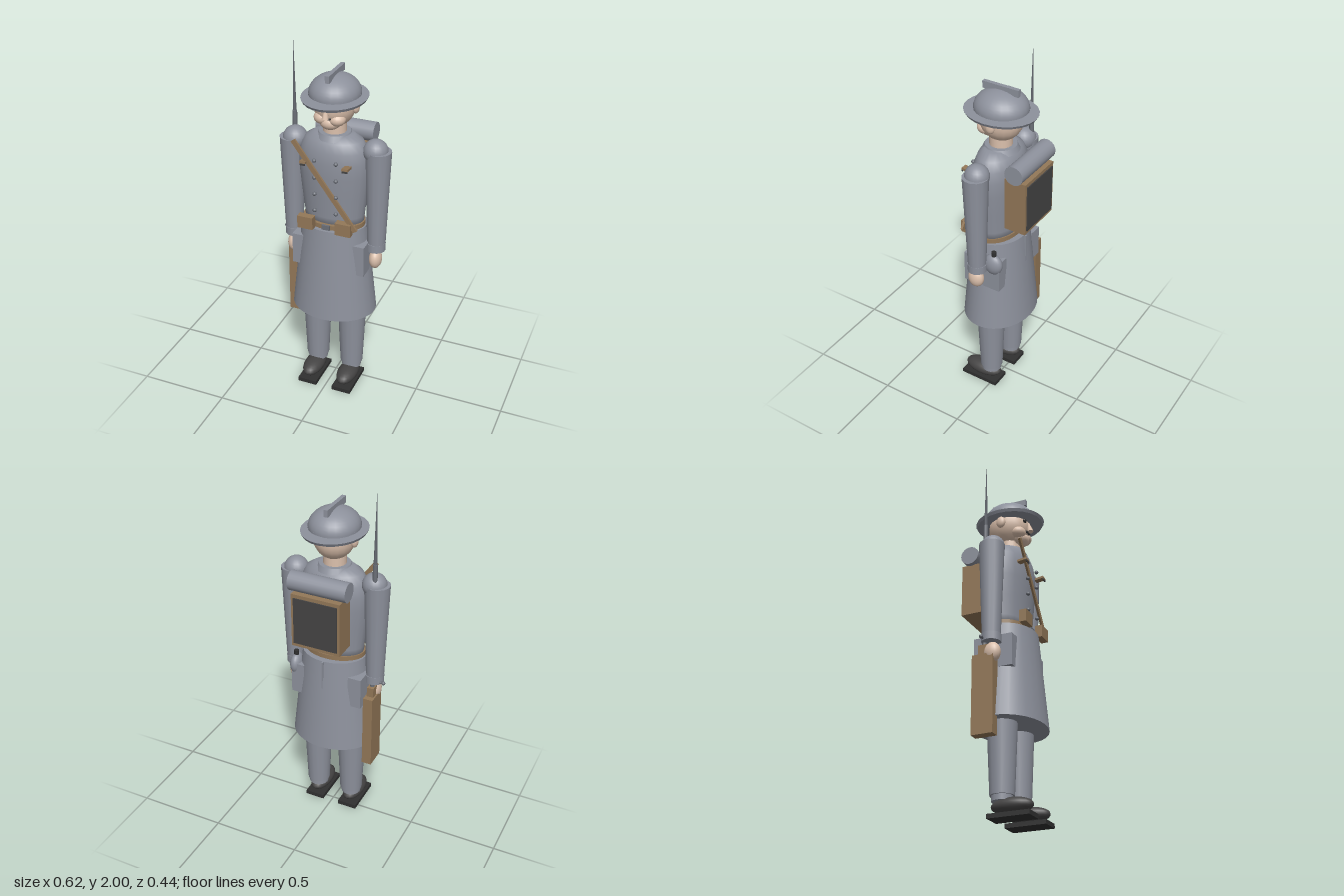
import * as THREE from 'three';

const mat = (name, color) => {
  const m = new THREE.MeshStandardMaterial({ color });
  m.name = name;
  return m;
};

export function createModel() {
  const cloth = mat('blue grey cloth', 0x8d919c);
  const steel = mat('steel', 0x6c7078);
  const skin = mat('skin', 0xdabfab);
  const leather = mat('brown leather', 0x937858);
  const dark = mat('dark canvas', 0x454444);
  const black = mat('black', 0x303030);
  const model = new THREE.Group();
  model.name = 'soldier';

  const add = (name, geo, material, x, y, z, parent = model) => {
    const m = new THREE.Mesh(geo, material);
    m.name = name;
    m.position.set(x, y, z);
    parent.add(m);
    return m;
  };
  const box = (name, w, h, d, material, x, y, z) =>
    add(name, new THREE.BoxGeometry(w, h, d), material, x, y, z);
  const ball = (name, rx, ry, rz, material, x, y, z) =>
    add(name, new THREE.SphereGeometry(1, 20, 14).scale(rx, ry, rz), material, x, y, z);
  // Upright tapered cylinder between two heights, squashed in z
  const tube = (name, rTop, rBot, y0, y1, material, x, z, sz = 1, sides = 20) =>
    add(name, new THREE.CylinderGeometry(rTop, rBot, y1 - y0, sides).scale(1, 1, sz),
      material, x, (y0 + y1) / 2, z);

  // Legs, boots, arms and hands
  for (const s of [-1, 1]) {
    const x = s * 0.105;
    tube('leg', 0.081, 0.064, 0.12, 0.52, cloth, x, 0.02, 1, 16);
    tube('legCuff', 0.056, 0.056, 0.09, 0.125, cloth, x, 0.02, 1, 16);
    ball('boot', 0.057, 0.043, 0.115, dark, x, 0.065, 0.075);
    box('sole', 0.112, 0.024, 0.23, black, x, 0.012, 0.075);

    ball('shoulder', 0.066, 0.066, 0.066, cloth, s * 0.225, 1.485, 0.018);
    tube('arm', 0.07, 0.049, 0.92, 1.49, cloth, s * 0.24, 0.018, 1, 14);
    tube('sleeveCuff', 0.053, 0.053, 0.905, 0.95, cloth, s * 0.238, 0.018, 1, 14);
    ball('hand', 0.035, 0.056, 0.046, skin, s * 0.24, 0.848, 0.025);

    // Coat pocket, mostly sunk into the skirt
    box('coatPocket', 0.075, 0.18, 0.22, cloth, s * 0.17, 0.867, 0.012);

    // Ammunition pouch and chest flap
    box('pouch', 0.087, 0.07, 0.04, leather, s * 0.107, 1.075, 0.158);
    const flap = box('chestFlap', 0.035, 0.012, 0.055, leather, s * 0.117, 1.425, 0.148);
    flap.rotation.x = -0.12;
    box('chestFlapEdge', 0.03, 0.01, 0.006, dark, s * 0.117, 1.416, 0.173);

    for (const y of [1.44, 1.343, 1.247, 1.15])
      ball('button', 0.011, 0.011, 0.011, steel, s * 0.06, y, 0.152);

    ball('ear', 0.018, 0.035, 0.027, skin, s * 0.113, 1.71, 0.012);
    ball('eye', 0.013, 0.013, 0.01, black, s * 0.04, 1.73, 0.127);
    box('brow', 0.04, 0.007, 0.012, dark, s * 0.045, 1.748, 0.122);
    ball('cheek', 0.045, 0.036, 0.045, skin, s * 0.04, 1.66, 0.085);
  }

  // Coat: torso swelling at the chest, then the flared skirt
  const profile = [[0.001, 1.04], [0.164, 1.04], [0.168, 1.1], [0.182, 1.22], [0.194, 1.34],
    [0.195, 1.42], [0.183, 1.48], [0.155, 1.53], [0.108, 1.56], [0.001, 1.562]];
  const torso = new THREE.LatheGeometry(profile.map(p => new THREE.Vector2(...p)), 24);
  add('torso', torso.scale(1, 1, 0.64), cloth, 0, 0, 0.02);
  add('collar', new THREE.CylinderGeometry(0.085, 0.1, 0.03, 20), cloth, 0, 1.552, 0.018);
  tube('coatSkirt', 0.181, 0.24, 0.502, 1.04, cloth, 0, 0.02, 0.815, 28);
  box('coatVent', 0.01, 0.27, 0.05, cloth, 0, 0.905, -0.117);

  // Belt, buckle and cross strap
  tube('belt', 0.173, 0.173, 1.038, 1.066, leather, 0, 0.025, 0.69, 28);
  box('buckle', 0.045, 0.03, 0.012, steel, 0, 1.052, 0.146);
  const strap = box('crossStrap', 0.58, 0.026, 0.012, leather, -0.002, 1.303, 0.155);
  strap.rotation.z = -Math.atan2(0.465, 0.345);

  // Canteen on the left hip
  ball('canteen', 0.035, 0.062, 0.055, cloth, 0.195, 0.94, -0.055);
  tube('canteenCap', 0.014, 0.014, 0.995, 1.022, black, 0.195, -0.06, 1, 10);

  // Backpack with blanket roll
  box('backpack', 0.276, 0.305, 0.124, leather, 0, 1.307, -0.151);
  box('backpackPanel', 0.248, 0.265, 0.008, dark, 0, 1.307, -0.215);
  const roll = add('blanketRoll', new THREE.CylinderGeometry(0.053, 0.053, 0.326, 20), cloth, 0, 1.508, -0.157);
  roll.rotation.z = Math.PI / 2;

  // Head
  tube('neck', 0.06, 0.062, 1.54, 1.64, skin, 0, 0.018);
  ball('head', 0.111, 0.122, 0.12, skin, 0, 1.717, 0.015);
  ball('chin', 0.055, 0.04, 0.05, skin, 0, 1.637, 0.08);
  const nose = add('nose', new THREE.CylinderGeometry(0.006, 0.019, 0.06, 8), skin, 0, 1.705, 0.138);
  nose.rotation.x = -0.2;
  box('mouth', 0.045, 0.007, 0.02, dark, 0, 1.672, 0.125);

  // Helmet with brim and crest
  tube('helmetBand', 0.118, 0.118, 1.75, 1.78, cloth, 0, 0.015, 1.08, 24);
  const dome = new THREE.SphereGeometry(1, 24, 10, 0, Math.PI * 2, 0, Math.PI / 2).scale(0.135, 0.1, 0.146);
  add('helmetDome', dome, cloth, 0, 1.773, 0.015);
  tube('helmetDomeRim', 0.135, 0.135, 1.768, 1.775, cloth, 0, 0.015, 1.08, 24);
  tube('helmetBrim', 0.17, 0.162, 1.741, 1.757, cloth, 0, 0.017, 1.18, 24);
  box('helmetCrest', 0.022, 0.038, 0.21, cloth, 0, 1.875, 0.016);

  // Rifle held upright at the right side
  const rx = -0.242, rz = -0.018;
  box('rifleStock', 0.055, 0.435, 0.12, leather, rx, 0.617, rz);
  box('rifleGrip', 0.038, 0.06, 0.06, leather, rx, 0.86, rz);
  tube('rifleBarrel', 0.013, 0.013, 0.86, 1.62, steel, rx, rz, 1, 10);
  tube('bayonet', 0.001, 0.011, 1.615, 2, steel, rx, rz, 1, 4);
  const bolt = add('boltHandle', new THREE.CylinderGeometry(0.006, 0.006, 0.06, 8), steel, -0.275, 0.918, -0.01);
  bolt.rotation.z = Math.PI / 2;
  ball('boltKnob', 0.011, 0.011, 0.011, steel, -0.302, 0.918, -0.01);

  return model;
}
